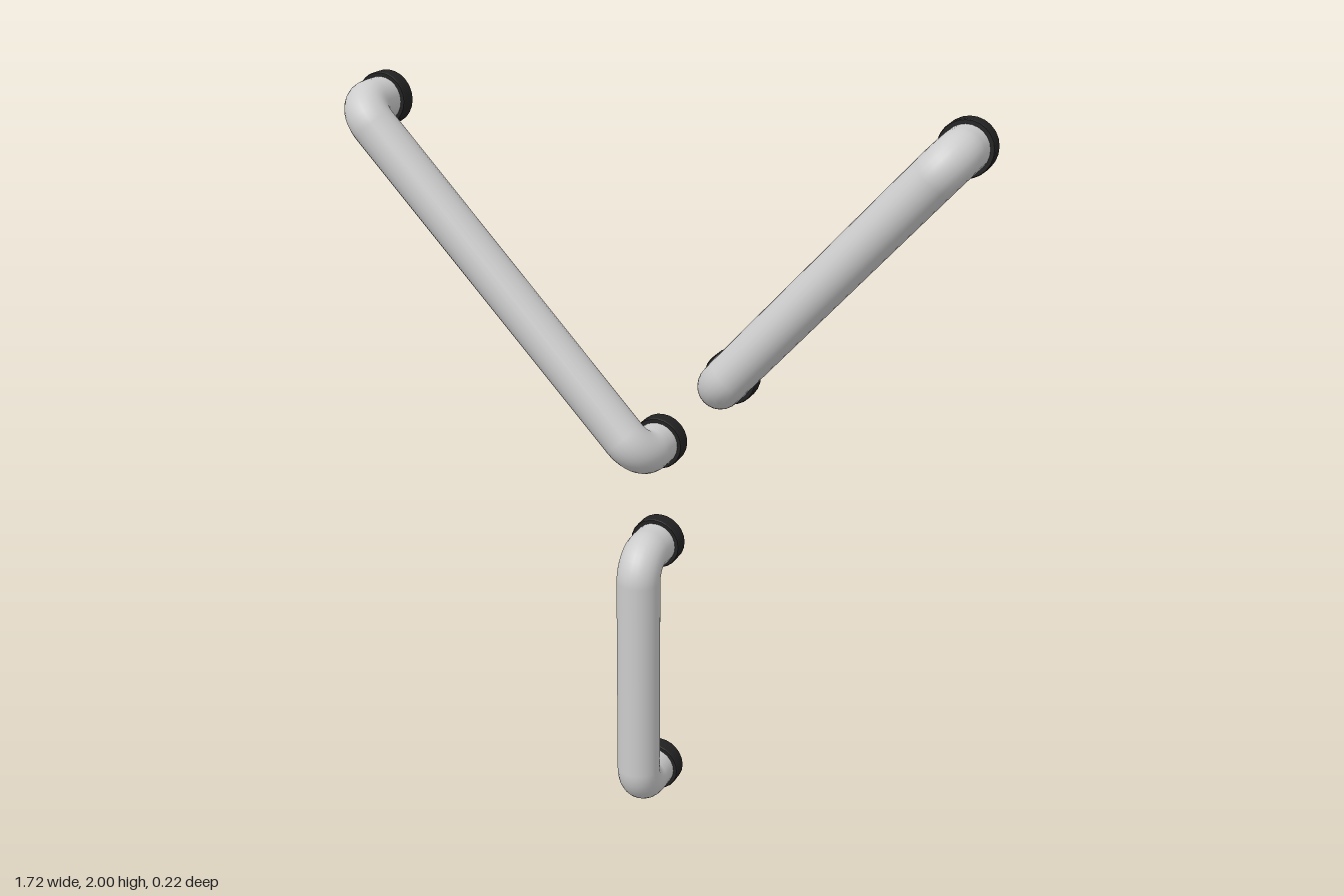
import * as THREE from 'three';
import { mergeGeometries, toCreasedNormals } from 'three/addons/utils/BufferGeometryUtils.js';

const PIPE_R = 0.0595, BORE_R = 0.054, FLANGE_R = 0.071;
const BACK_Z = -0.107, FLANGE_Z = -0.062, BAR_Z = 0.05, BEND = 0.064;
const SIDES = 24;

const pipeGrey = new THREE.MeshStandardMaterial({ color: 0xcccccc, side: THREE.DoubleSide });
pipeGrey.name = 'pipeGrey';
const flangeBlack = new THREE.MeshStandardMaterial({ color: 0x222222 });
flangeBlack.name = 'flangeBlack';

// Open tube along z between two depths
function tubeZ(radius, z0, z1, x) {
  return new THREE.CylinderGeometry(radius, radius, z1 - z0, SIDES, 1, true)
    .rotateX(Math.PI / 2).translate(x, 0, (z0 + z1) / 2);
}

// Quarter bend from a leg into the bar
function elbow(x, turn) {
  return new THREE.TorusGeometry(BEND, PIPE_R, SIDES, 10, Math.PI / 2)
    .rotateZ(turn).rotateX(Math.PI / 2).translate(x, 0, BAR_Z - BEND);
}

// Handle pipe: two legs, two bends, one bar and the bore seen from behind
function pipeGeometry(length) {
  const bar = new THREE.CylinderGeometry(PIPE_R, PIPE_R, length - 2 * BEND, SIDES, 1, true)
    .rotateZ(Math.PI / 2).translate(length / 2, 0, BAR_Z);
  const parts = [bar, elbow(BEND, Math.PI / 2), elbow(length - BEND, 0)];
  for (const x of [0, length]) {
    parts.push(tubeZ(PIPE_R, BACK_Z + 0.005, BAR_Z - BEND, x));
    parts.push(tubeZ(BORE_R, BACK_Z, FLANGE_Z, x));
  }
  return mergeGeometries(parts);
}

// Mounting ring with a slightly bevelled rim
function flangeGeometry() {
  const profile = [
    [BORE_R, BACK_Z], [FLANGE_R - 0.002, BACK_Z], [FLANGE_R, BACK_Z + 0.003],
    [FLANGE_R, FLANGE_Z - 0.003], [FLANGE_R - 0.002, FLANGE_Z], [BORE_R, FLANGE_Z],
  ].map(([r, z]) => new THREE.Vector2(r, z));
  const ring = new THREE.LatheGeometry(profile, SIDES).rotateX(Math.PI / 2);
  return toCreasedNormals(ring, Math.PI / 6);
}

// One handle between two mounting points
function makeHandle(name, [x0, y0], [x1, y1], flange) {
  const handle = new THREE.Group();
  handle.name = name;
  const length = Math.hypot(x1 - x0, y1 - y0);
  handle.position.set(x0, y0, 0);
  handle.rotation.z = Math.atan2(y1 - y0, x1 - x0);

  const pipe = new THREE.Mesh(pipeGeometry(length), pipeGrey);
  pipe.name = 'pipe';
  handle.add(pipe);
  [0, length].forEach((x, i) => {
    const ring = new THREE.Mesh(flange, flangeBlack);
    ring.name = i ? 'endFlange' : 'startFlange';
    ring.position.x = x;
    handle.add(ring);
  });
  return handle;
}

export function createModel() {
  const model = new THREE.Group();
  model.name = 'pipeHandles';
  const flange = flangeGeometry();
  model.add(
    makeHandle('lowerHandle', [0, 0.073], [0, 0.776], flange),
    makeHandle('longHandle', [0.005, 1.07], [-0.79, 1.929], flange),
    makeHandle('shortHandle', [0.209, 1.282], [0.786, 1.929], flange),
  );
  return model;
}
